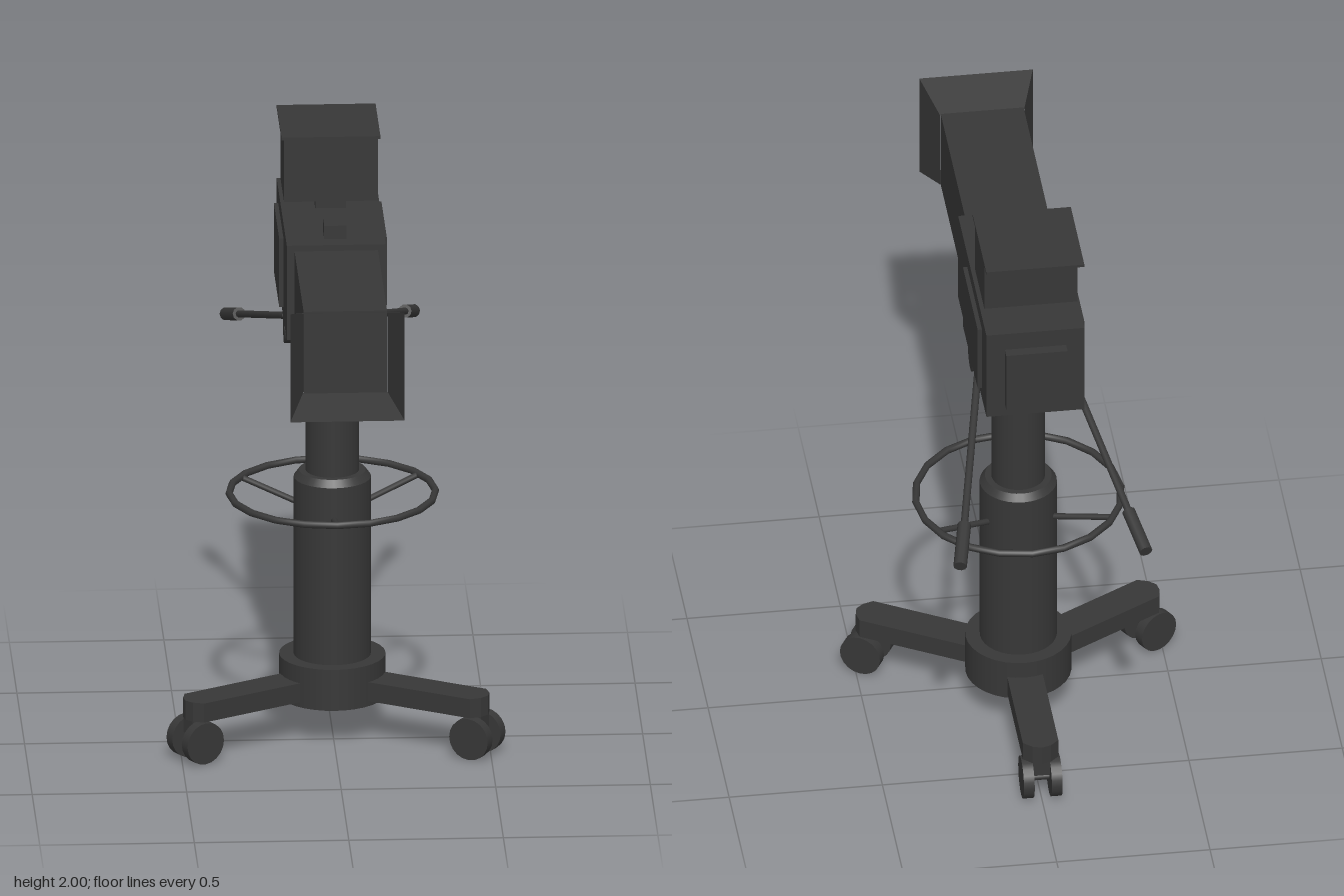
import * as THREE from 'three';

const CZ = -0.087; // pedestal axis

export function createModel() {
  const root = new THREE.Group();
  root.name = 'studioCamera';
  const charcoal = new THREE.MeshStandardMaterial({ color: 0x373737, side: THREE.DoubleSide });
  charcoal.name = 'charcoal';

  const add = (name, geometry, parent = root) => {
    const mesh = new THREE.Mesh(geometry, charcoal);
    mesh.name = name;
    parent.add(mesh);
    return mesh;
  };
  // box given by its limits on each axis
  const box = (name, x0, x1, y0, y1, z0, z1, parent) => {
    const m = add(name, new THREE.BoxGeometry(x1 - x0, y1 - y0, z1 - z0), parent);
    m.position.set((x0 + x1) / 2, (y0 + y1) / 2, (z0 + z1) / 2);
    return m;
  };
  // round section of the pedestal between two heights
  const drum = (name, r0, r1, y0, y1) => {
    const m = add(name, new THREE.CylinderGeometry(r1, r0, y1 - y0, 32));
    m.position.set(0, (y0 + y1) / 2, CZ);
  };
  // straight rod between two points
  const rod = (name, a, b, r, parent, sides = 10) => {
    const dir = b.clone().sub(a);
    const m = add(name, new THREE.CylinderGeometry(r, r, dir.length(), sides), parent);
    m.position.copy(a).add(b).multiplyScalar(0.5);
    m.quaternion.setFromUnitVectors(new THREE.Vector3(0, 1, 0), dir.normalize());
  };
  const V = (x, y, z) => new THREE.Vector3(x, y, z);

  // Pedestal
  drum('baseHub', 0.172, 0.172, 0.125, 0.265);
  drum('outerColumn', 0.125, 0.125, 0.265, 0.87);
  drum('columnShoulder', 0.125, 0.108, 0.87, 0.893);
  drum('innerColumn', 0.087, 0.087, 0.893, 1.26);
  drum('collarTaper', 0.09, 0.109, 1.245, 1.27);
  drum('collar', 0.109, 0.109, 1.27, 1.328);

  // Three legs with twin casters
  const outline = new THREE.Shape([
    [-0.058, 0.1], [0.058, 0.1], [0.058, 0.53], [0.03, 0.555],
    [0, 0.565], [-0.03, 0.555], [-0.058, 0.53],
  ].map(([x, y]) => new THREE.Vector2(x, y)));
  const legGeometry = new THREE.ExtrudeGeometry(outline, { depth: 0.065, bevelEnabled: false });
  legGeometry.rotateX(-Math.PI / 2);
  for (let i = 0; i < 3; i++) {
    const leg = new THREE.Group();
    leg.name = 'casterLeg';
    leg.position.z = CZ;
    leg.rotation.y = (i * Math.PI * 2) / 3;
    root.add(leg);
    add('legBar', legGeometry, leg).position.y = 0.142;
    box('casterFork', -0.028, 0.028, 0.09, 0.145, -0.555, -0.5, leg);
    rod('axle', V(-0.04, 0.07, -0.527), V(0.04, 0.07, -0.527), 0.015, leg);
    for (const s of [-1, 1])
      rod('wheel', V(s * 0.028, 0.07, -0.527), V(s * 0.063, 0.07, -0.527), 0.07, leg, 20);
  }

  // Steering ring and its sloping spokes
  const ring = add('steeringRing', new THREE.TorusGeometry(0.334, 0.012, 8, 20));
  ring.rotation.x = Math.PI / 2;
  ring.position.set(0, 0.815, CZ);
  for (let i = 0; i < 3; i++) {
    const a = (i * Math.PI * 2) / 3, sx = Math.sin(a), cz = Math.cos(a);
    rod('ringSpoke', V(sx * 0.115, 0.758, CZ + cz * 0.115),
      V(sx * 0.332, 0.813, CZ + cz * 0.332), 0.01);
  }

  // Tilting head with pivot discs and pan handles
  box('panHead', -0.125, 0.125, 1.325, 1.427, -0.24, 0.062);
  rod('tiltPivot', V(-0.157, 1.385, CZ), V(0.157, 1.385, CZ), 0.055, root, 24);
  for (const s of [-1, 1]) {
    const start = V(s * 0.145, 1.387, -0.185);
    const mid = V(s * 0.268, 1.196, -0.757);
    const end = V(s * 0.303, 1.143, -0.912);
    rod('panHandle', start, mid, 0.012);
    rod('handleGrip', mid, end, 0.022);
    rod('handleMount', V(s * 0.11, 1.387, -0.19), V(s * 0.153, 1.387, -0.19), 0.016);
  }

  // Camera body
  box('body', -0.16, 0.16, 1.427, 1.75, -0.495, 0.175);
  box('rearPanel', -0.1, 0.1, 1.475, 1.688, -0.53, -0.494);
  for (const s of [-1, 1]) {
    const p = box('sidePanel', -0.0075, 0.0075, 1.467, 1.7, -0.39, -0.04);
    p.position.x = s * 0.1665;
  }
  box('topKnob', -0.036, 0.036, 1.749, 1.795, 0.038, 0.115);

  // Viewfinder with its overhanging shade
  box('viewfinderNeck', -0.05, 0.05, 1.749, 1.782, -0.29, -0.19);
  box('viewfinder', -0.152, 0.152, 1.78, 1.992, -0.388, -0.17);
  box('viewfinderShade', -0.16, 0.16, 1.991, 2.0, -0.493, -0.17);

  // Lens housing and open flared hood
  box('lensHousing', -0.135, 0.135, 1.448, 1.73, 0.174, 0.77);
  let hood = new THREE.CylinderGeometry(
    0.185 * Math.SQRT2, 0.137 * Math.SQRT2, 0.147, 4, 1, true);
  hood.rotateY(Math.PI / 4);
  hood.rotateX(Math.PI / 2);
  hood = hood.toNonIndexed();
  hood.computeVertexNormals();
  add('lensHood', hood).position.set(0, 1.588, 0.8415);

  return root;
}
